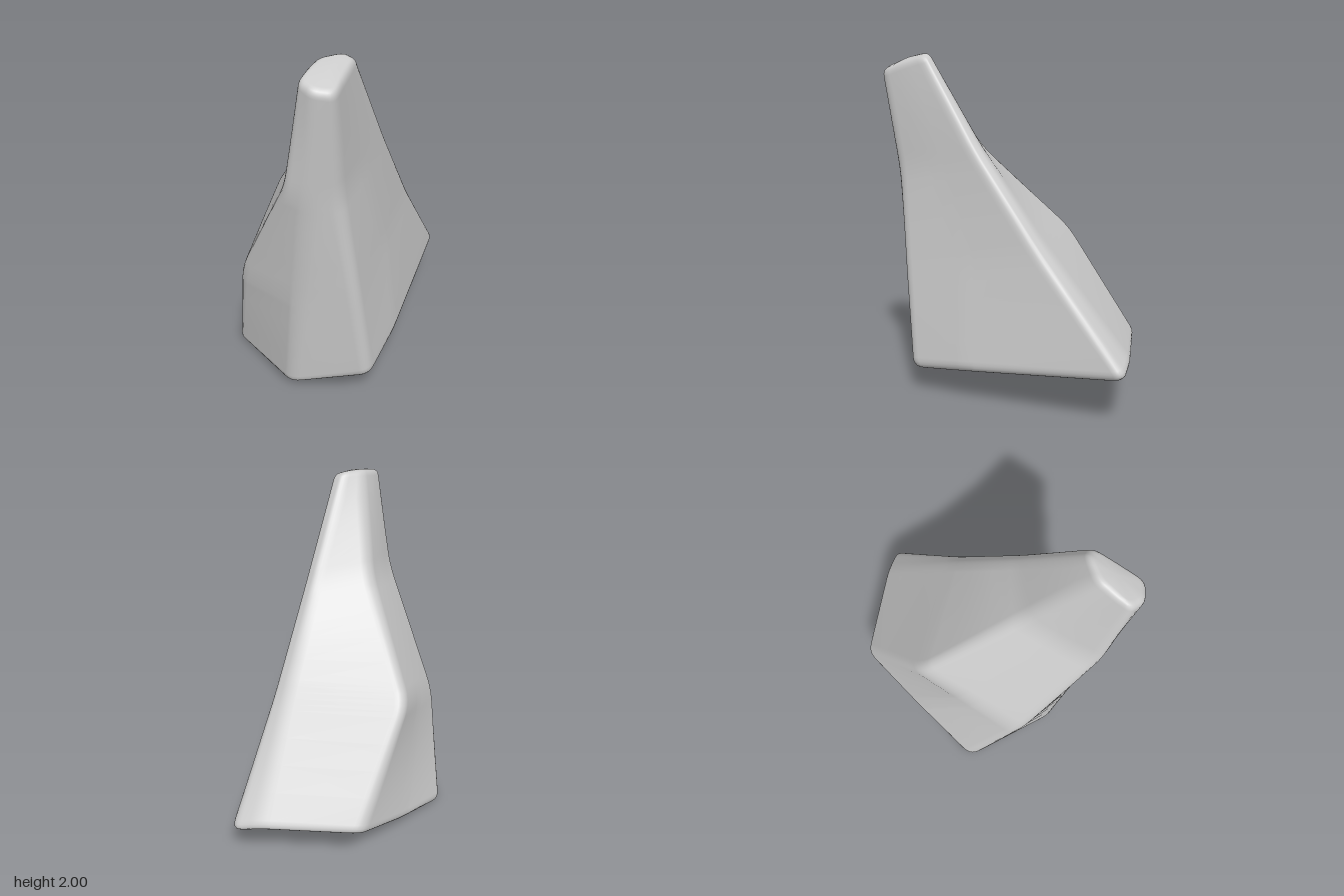
import * as THREE from 'three';
import { mergeVertices } from 'three/addons/utils/BufferGeometryUtils.js';

const V = (p) => new THREE.Vector3(...p);

// Round the corner at p between its neighbours a and b, as n + 1 points
function roundCorner(a, p, b, r, n) {
  const towards = (q) => {
    const len = p.distanceTo(q);
    return p.clone().lerp(q, len > 1e-6 ? Math.min(r, len * 0.33) / len : 0);
  };
  return new THREE.QuadraticBezierCurve3(towards(a), p, towards(b)).getPoints(n);
}

// Edges of the rock, each from its foot over two soft bends to the top
const EDGES = [
  [[-0.33, 0.15, 0.603], [-0.41, 0.72, 0.6], [-0.5, 1.33, 0.585], [-0.57, 1.9, 0.65]],       // front
  [[0, 0.195, 0.4], [-0.05, 0.8, 0.35], [-0.27, 1.38, 0.45], [-0.455, 1.945, 0.568]],        // front swell
  [[0.78, 0.29, -0.2], [0.32, 0.9, 0.08], [-0.025, 1.43, 0.3], [-0.335, 1.98, 0.478]],       // right
  [[0.66, 0.33, -0.32], [0.28, 0.93, 0.005], [-0.05, 1.46, 0.235], [-0.37, 2.005, 0.425]],   // right bevel
  [[0.19, 0.33, -0.663], [-0.25, 0.94, -0.45], [-0.37, 1.47, 0.11], [-0.5, 2.003, 0.41]],    // back
  [[-0.22, 0.145, -0.51], [-0.5, 0.81, -0.25], [-0.55, 1.41, 0.25], [-0.59, 1.98, 0.45]],    // back swell
  [[-0.66, -0.013, -0.33], [-0.757, 0.66, -0.05], [-0.725, 1.36, 0.4], [-0.673, 1.95, 0.5]], // left
  [[-0.65, 0.02, 0.27], [-0.645, 0.68, 0.38], [-0.645, 1.33, 0.51], [-0.662, 1.92, 0.593]],  // left bevel
].map((edge) => edge.map(V));

const BOTTOM = V([0, 0.12, -0.12]);
const TOP = V([-0.5, 1.977, 0.51]);
const BEND_RADII = [0.06, 0.09, 0.09, 0.04];

function rockGeometry() {
  // Columns run from the bottom centre, up along each edge, to the top centre
  const columns = EDGES.map((edge) => {
    const path = [BOTTOM, ...edge, TOP];
    const pts = [BOTTOM];
    edge.forEach((p, k) => {
      const arc = roundCorner(path[k], p, path[k + 2], BEND_RADII[k], 5);
      const last = pts[pts.length - 1];
      for (const t of [0.25, 0.5, 0.75]) pts.push(last.clone().lerp(arc[0], t));
      pts.push(...arc);
    });
    return [...pts, TOP];
  });

  // Each row is a closed loop through the columns with rounded corners
  const m = columns.length;
  const rows = columns[0].map((_, i) => {
    const loop = columns.map((c) => c[i]);
    return loop.flatMap((p, j) => roundCorner(loop[(j + m - 1) % m], p, loop[(j + 1) % m], 0.06, 5));
  });

  // Skin the rows, with triangle fans around both centres
  const w = rows[0].length, end = rows.length - 2, index = [];
  for (let i = 0; i <= end; i++) {
    for (let j = 0; j < w; j++) {
      const a = i * w + j, b = i * w + (j + 1) % w;
      if (i > 0) index.push(a, b, b + w);
      if (i < end) index.push(a, b + w, a + w);
    }
  }
  const geo = new THREE.BufferGeometry().setFromPoints(rows.flat());
  geo.setIndex(index);
  const skin = mergeVertices(geo, 1e-5);
  skin.computeVertexNormals();
  return skin;
}

export function createModel() {
  const group = new THREE.Group();
  group.name = 'rock';
  const rock = new THREE.Mesh(rockGeometry(), new THREE.MeshStandardMaterial({ color: 0xcccccc }));
  rock.name = 'leaningRock';
  group.add(rock);
  return group;
}
